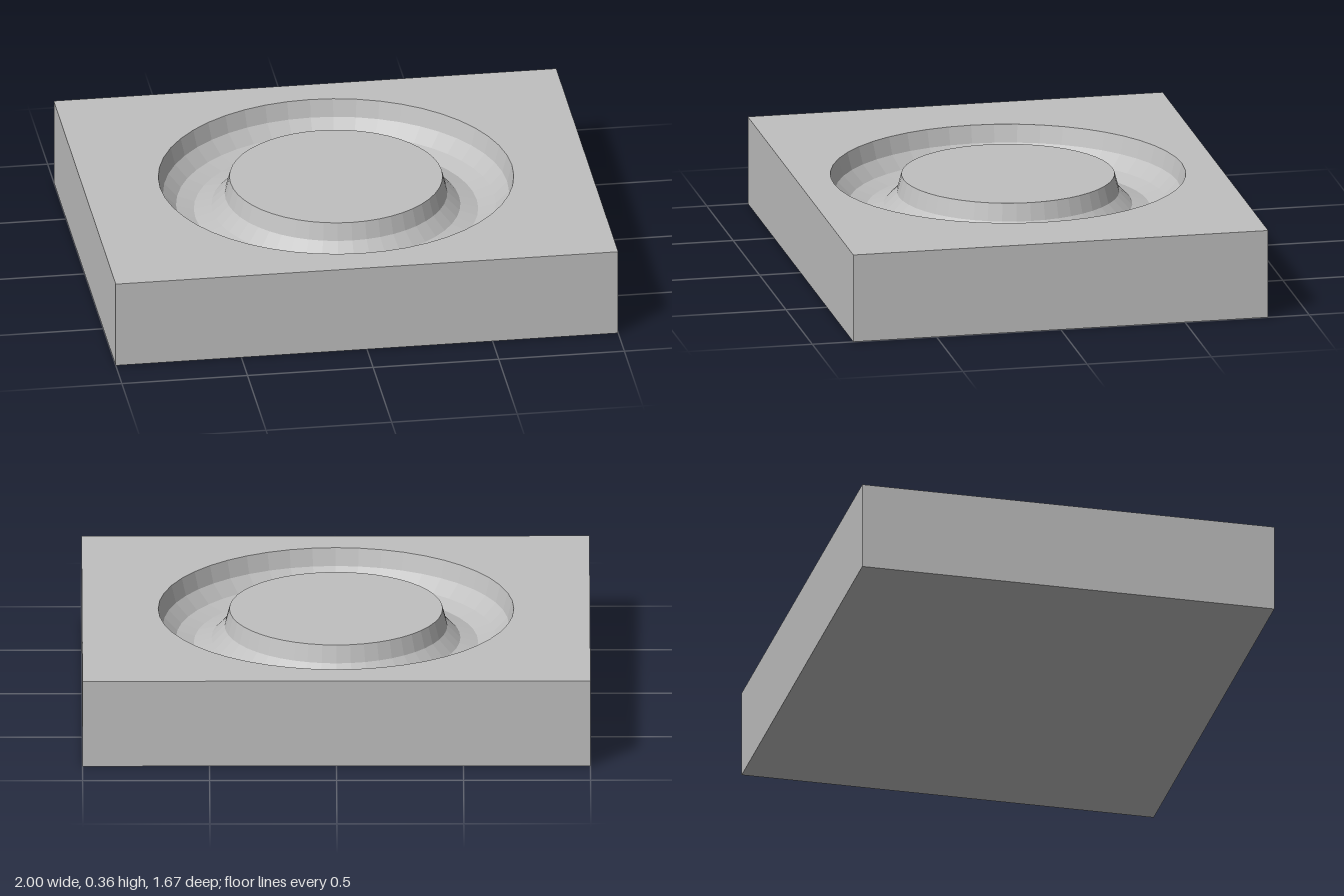
import * as THREE from 'three';

const WIDTH = 2, DEPTH = 1.67, HEIGHT = 0.356;
const RING = 0.56, GROOVE = 0.14, SIDES = 48;

export function createModel() {
  const group = new THREE.Group();
  const plainGrey = new THREE.MeshStandardMaterial({ color: 0xc0c0c0 });

  const add = (name, geometry, y) => {
    const mesh = new THREE.Mesh(geometry, plainGrey);
    mesh.name = name;
    mesh.position.y = y;
    group.add(mesh);
  };

  // Block walls and underside: a box without its top face
  const block = new THREE.BoxGeometry(WIDTH, HEIGHT, DEPTH);
  const index = Array.from(block.index.array);
  index.splice(12, 6);
  block.setIndex(index);
  block.clearGroups();
  add('blockBody', block, HEIGHT / 2);

  // Top face with a round opening for the groove
  const outline = new THREE.Shape([
    new THREE.Vector2(-WIDTH / 2, -DEPTH / 2),
    new THREE.Vector2(WIDTH / 2, -DEPTH / 2),
    new THREE.Vector2(WIDTH / 2, DEPTH / 2),
    new THREE.Vector2(-WIDTH / 2, DEPTH / 2),
  ]);
  const opening = new THREE.Path();
  opening.absarc(0, 0, RING + GROOVE, 0, Math.PI * 2, true);
  outline.holes.push(opening);
  add('topFace', new THREE.ShapeGeometry(outline, SIDES / 2).rotateX(-Math.PI / 2), HEIGHT);

  // Half-round ring groove, faceted, swept from outer rim to inner rim
  const profile = [];
  for (let i = 0; i <= 6; i++) {
    const a = (i / 6) * Math.PI;
    profile.push(new THREE.Vector2(RING + GROOVE * Math.cos(a), -GROOVE * Math.sin(a)));
  }
  const groove = new THREE.LatheGeometry(profile, SIDES).toNonIndexed();
  groove.computeVertexNormals();
  add('ringGroove', groove, HEIGHT);

  // Flat island inside the groove
  add('centreIsland', new THREE.CircleGeometry(RING - GROOVE, SIDES).rotateX(-Math.PI / 2), HEIGHT);

  return group;
}
